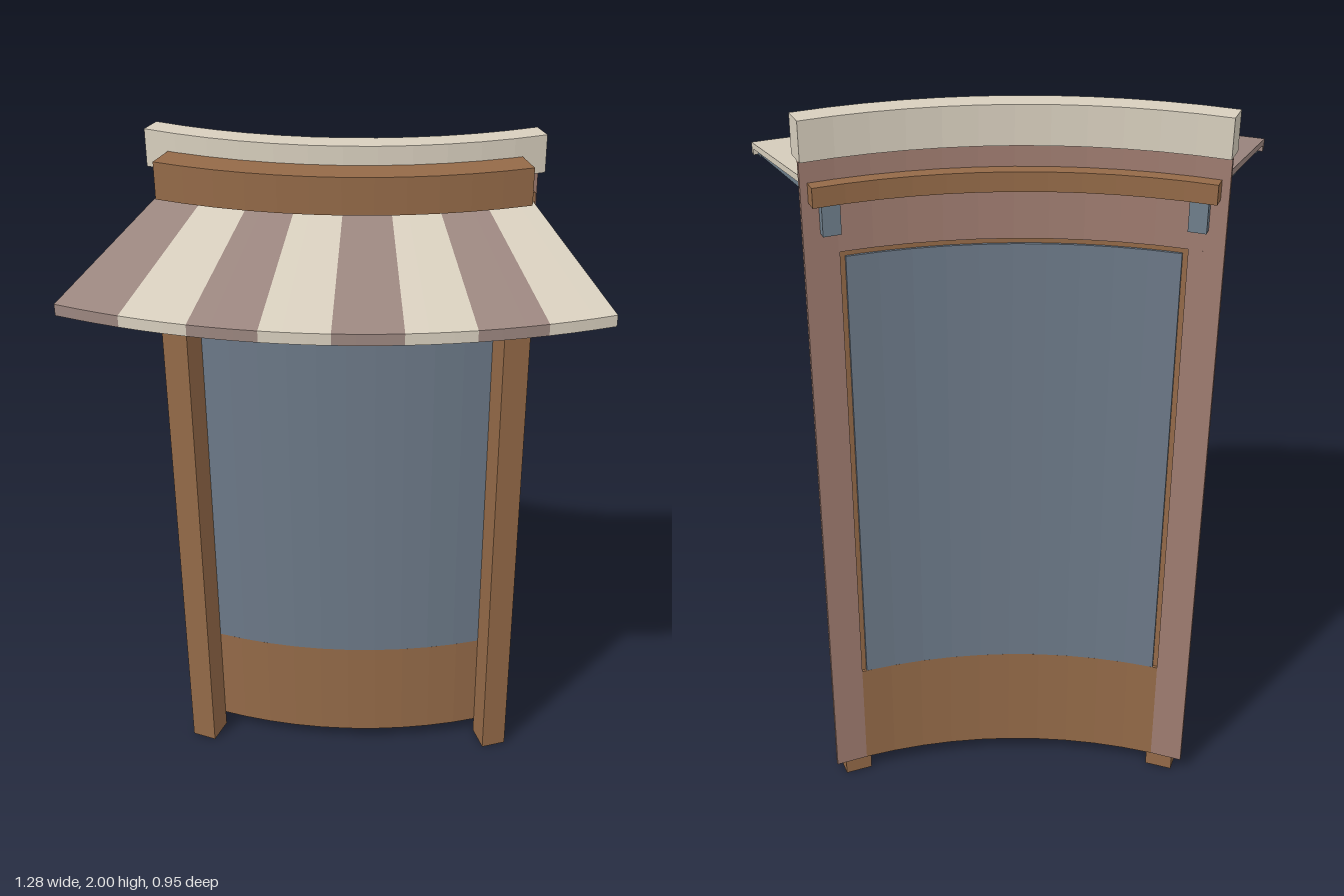
import * as THREE from 'three';

const BROWN = 0x946a48, CREAM = 0xd8cfbe, PLASTER = 0x9f7c70;
const STRIPE = 0x9c8780, GLASS = 0x6c7988, METAL = 0x6f7f8c;
const RAD = Math.PI / 180;

// Sweeps a convex, counter-clockwise (radius, height) profile along an arc in degrees
function sweep(profile, a0, a1, segs) {
  const pos = [];
  const point = ([r, y], deg) => [r * Math.sin(deg * RAD), y, r * Math.cos(deg * RAD)];
  const tri = (a, b, c) => pos.push(...a, ...b, ...c);
  const n = profile.length;
  for (let s = 0; s < segs; s++) {
    const a = a0 + (a1 - a0) * s / segs;
    const b = a0 + (a1 - a0) * (s + 1) / segs;
    for (let i = 0; i < n; i++) {
      const p = profile[i], q = profile[(i + 1) % n];
      tri(point(p, a), point(p, b), point(q, b));
      tri(point(p, a), point(q, b), point(q, a));
    }
  }
  // End caps
  for (let i = 1; i < n - 1; i++) {
    tri(point(profile[0], a0), point(profile[i], a0), point(profile[i + 1], a0));
    tri(point(profile[0], a1), point(profile[i + 1], a1), point(profile[i], a1));
  }
  const geo = new THREE.BufferGeometry();
  geo.setAttribute('position', new THREE.Float32BufferAttribute(pos, 3));
  geo.computeVertexNormals();
  return geo;
}

const rect = (r0, r1, y0, y1) => [[r0, y0], [r1, y0], [r1, y1], [r0, y1]];

export function createModel() {
  const model = new THREE.Group();
  model.name = 'curvedShopWindow';
  // Everything is laid out around the centre of the arc
  const bay = new THREE.Group();
  bay.name = 'bay';
  bay.position.set(-0.64, 0, -1.37);
  model.add(bay);

  const materials = {};
  const add = (name, geometry, color, parent = bay) => {
    materials[color] ??= new THREE.MeshStandardMaterial({ color, flatShading: true });
    const mesh = new THREE.Mesh(geometry, materials[color]);
    mesh.name = name;
    parent.add(mesh);
    return mesh;
  };

  // Thin curved wall: side strips, top band, glass and lower panel share one skin
  const skin = (y0, y1) => rect(1.284, 1.294, y0, y1);
  add('wallRight', sweep(skin(0.05, 1.66), 0, 3.9, 1), PLASTER);
  add('wallLeft', sweep(skin(0.05, 1.66), 41.4, 45.3, 1), PLASTER);
  add('wallTop', sweep(skin(1.66, 1.9), 0, 45.3, 12), PLASTER);
  add('glass', sweep(skin(0.37, 1.646), 4.5, 40.8, 10), GLASS);
  add('lowerPanel', sweep(skin(0.05, 0.37), 3.9, 41.4, 10), BROWN);

  // Header beam in front of the wall
  add('header', sweep(rect(1.29, 1.376, 1.645, 1.71), 2.9, 42.4, 12), BROWN);

  // Posts, brackets and awning arms at both ends
  for (const [side, deg, armDeg] of [['Right', 2.9, 2], ['Left', 42.4, 43.3]]) {
    const end = new THREE.Group();
    end.name = 'end' + side;
    end.rotation.y = deg * RAD;
    bay.add(end);
    const post = add('post' + side, new THREE.BoxGeometry(0.075, 1.71, 0.085), BROWN, end);
    post.position.set(0, 0.855, 1.3335);
    const bracket = add('bracket' + side, new THREE.BoxGeometry(0.045, 0.085, 0.09), METAL, end);
    bracket.position.set(0, 1.7575, 1.305);
    const arm = [[1.31, 1.79], [1.8, 1.716], [1.8, 1.73], [1.31, 1.808]];
    add('awningArm' + side, sweep(arm, armDeg - 0.25, armDeg + 0.25, 1), METAL);
  }

  // Rail, cornice and coping
  add('rail', sweep(rect(1.25, 1.325, 1.795, 1.845), 0.9, 44.5, 12), BROWN);
  add('cornice', sweep(rect(1.32, 1.414, 1.85, 1.95), 2.8, 42.5, 12), BROWN);
  add('coping', sweep(rect(1.274, 1.334, 1.9, 2), 0, 45.3, 12), CREAM);

  // Striped awning with a short valance
  const awning = new THREE.Group();
  awning.name = 'awning';
  bay.add(awning);
  const first = 1.25, step = 42.7 / 8;
  const sheet = [[1.32, 1.813], [1.845, 1.724], [1.845, 1.74], [1.32, 1.831]];
  for (let i = 0; i < 8; i++) {
    const a = first + i * step, color = i % 2 ? CREAM : STRIPE;
    add('awningStripe', sweep(sheet, a, a + step, 3), color, awning);
    add('valanceStripe', sweep(rect(1.83, 1.845, 1.71, 1.726), a, a + step, 3), color, awning);
  }
  add('awningFrontBar', sweep(rect(1.808, 1.829, 1.711, 1.727), 1.6, 43.6, 24), METAL, awning);

  return model;
}
